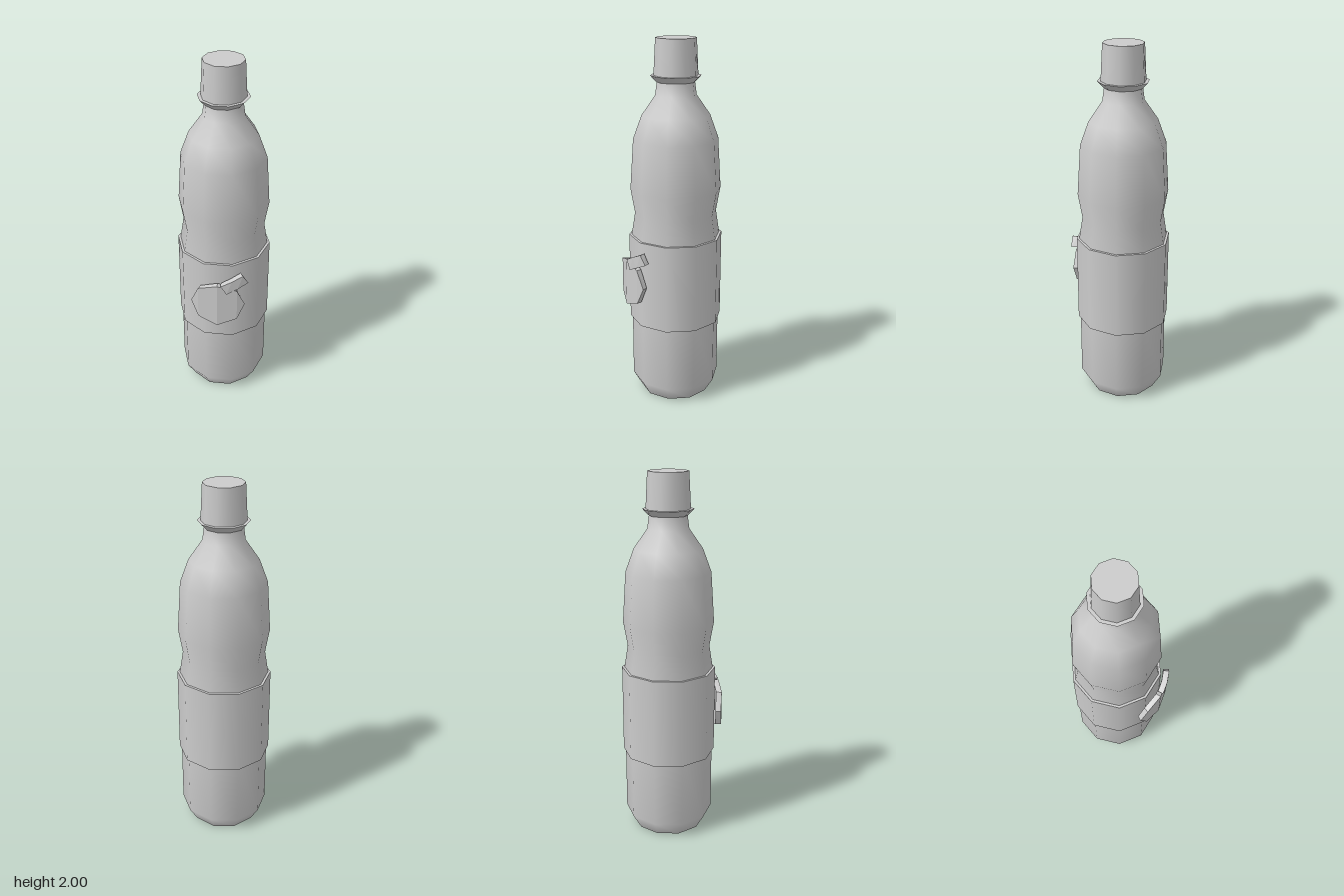
import * as THREE from 'three';

const SIDES = 10;
const AXIS_Z = -0.03; // the bottle stands slightly behind the centre, the badge in front

export function createModel() {
  const plastic = new THREE.MeshStandardMaterial({ color: 0xcccccc });
  plastic.name = 'light grey';

  const model = new THREE.Group();
  model.name = 'bottle';
  model.position.z = AXIS_Z;

  function add(parent, name, geometry) {
    const mesh = new THREE.Mesh(geometry, plastic);
    mesh.name = name;
    parent.add(mesh);
  }

  // Ten-sided turned surface; each profile is smooth, edges between profiles stay sharp
  function turned(name, ...profiles) {
    const part = new THREE.Group();
    part.name = name;
    for (const profile of profiles) {
      const points = profile.map(([r, y]) => new THREE.Vector2(r, y));
      add(part, name, new THREE.LatheGeometry(points, SIDES, Math.PI / 2));
    }
    model.add(part);
  }

  // Plate wrapped around the bottle axis; each column is [top point, bottom point] in x, y
  function wrappedPlate(name, columns, outer, inner) {
    const pos = [];
    const place = ([x, y], r) => {
      const a = Math.asin(x / outer);
      return new THREE.Vector3(Math.sin(a) * r, y, Math.cos(a) * r);
    };
    const tri = (a, b, c) => {
      if (a.equals(b) || b.equals(c) || c.equals(a)) return;
      for (const p of [a, b, c]) pos.push(p.x, p.y, p.z);
    };
    const quad = (a, b, c, d) => { tri(a, b, c); tri(a, c, d); };
    const ring = columns.map(([t, b]) => ({
      t: place(t, outer), b: place(b, outer), ti: place(t, inner), bi: place(b, inner),
    }));
    for (let i = 0; i + 1 < ring.length; i++) {
      const l = ring[i], r = ring[i + 1];
      quad(l.b, r.b, r.t, l.t);     // front
      quad(r.bi, l.bi, l.ti, r.ti); // back
      quad(l.t, r.t, r.ti, l.ti);   // upper edge
      quad(l.bi, r.bi, r.b, l.b);   // lower edge
    }
    const s = ring[0], e = ring[ring.length - 1];
    quad(s.bi, s.b, s.t, s.ti);
    quad(e.b, e.bi, e.ti, e.t);
    const geometry = new THREE.BufferGeometry();
    geometry.setAttribute('position', new THREE.Float32BufferAttribute(pos, 3));
    geometry.computeVertexNormals();
    add(model, name, geometry);
  }

  // Bottle body with base, waist, shoulder and neck
  turned('body',
    [[0, 0], [0.195, 0]],
    [[0.195, 0], [0.245, 0.085], [0.245, 0.5], [0.245, 0.93], [0.224, 1.065],
      [0.247, 1.2], [0.229, 1.475], [0.183, 1.6], [0.11, 1.705], [0.1, 1.78]]);

  // Label sleeve
  turned('label',
    [[0.235, 0.45], [0.257, 0.45]],
    [[0.257, 0.45], [0.257, 0.94]],
    [[0.257, 0.94], [0.235, 0.94]]);

  // Flared collar under the cap
  turned('collar',
    [[0.09, 1.775], [0.105, 1.775]],
    [[0.105, 1.775], [0.136, 1.808]],
    [[0.136, 1.808], [0.1, 1.808]]);

  // Screw cap
  turned('cap',
    [[0.118, 1.805], [0.108, 2]],
    [[0.108, 2], [0, 2]]);

  // Round fruit badge and its leaf, curved around the label
  wrappedPlate('badge', [
    [[-0.148, 0.697], [-0.148, 0.697]],
    [[-0.107, 0.795], [-0.107, 0.602]],
    [[0, 0.832], [0, 0.562]],
    [[0.107, 0.795], [0.107, 0.602]],
    [[0.148, 0.697], [0.148, 0.697]],
  ], 0.297, 0.266);
  wrappedPlate('leaf', [
    [[0.02, 0.835], [0.052, 0.783]],
    [[0.08, 0.865], [0.11, 0.812]],
    [[0.137, 0.893], [0.165, 0.84]],
  ], 0.301, 0.268);

  const root = new THREE.Group();
  root.name = 'bottleModel';
  root.add(model);
  return root;
}
